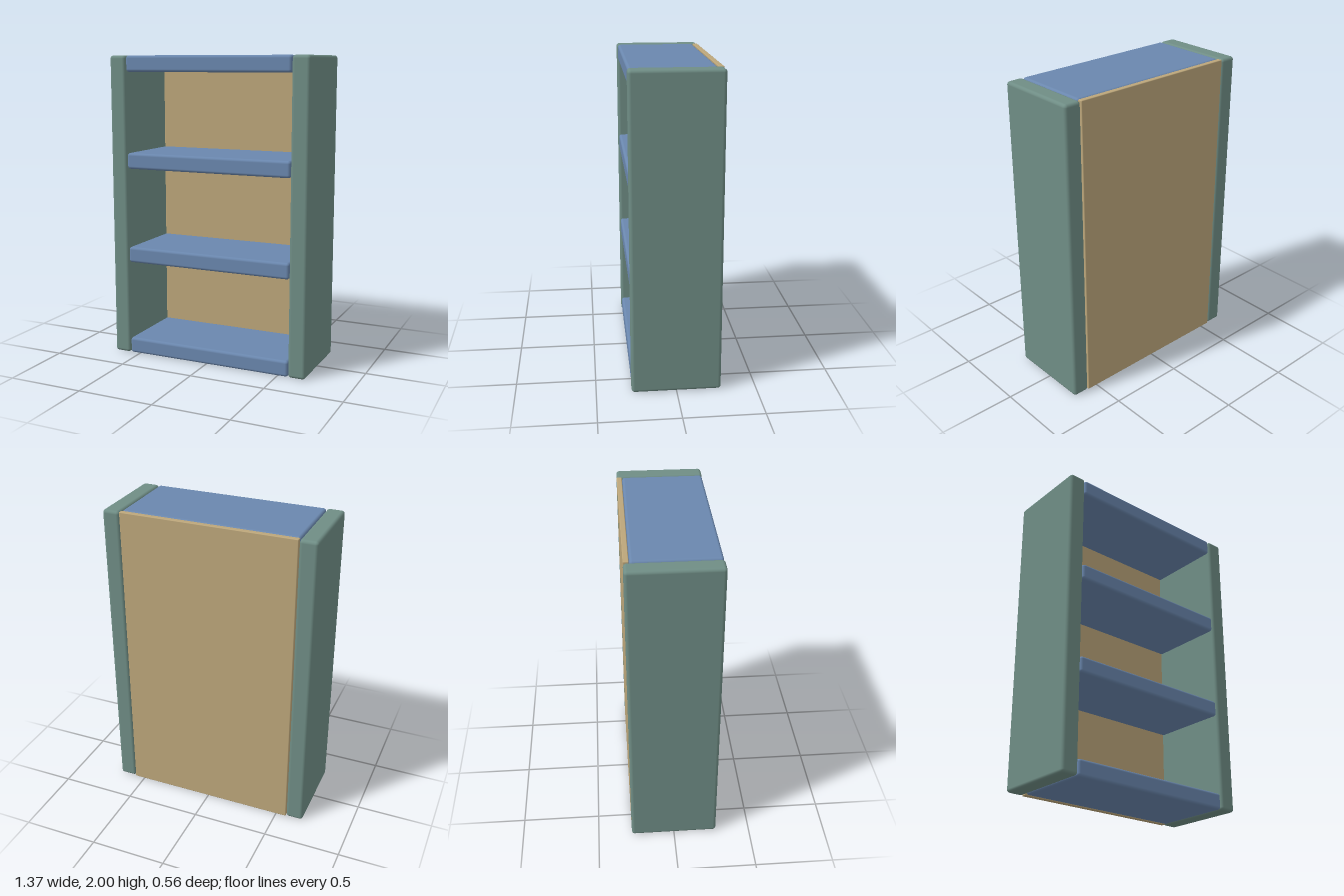
import * as THREE from 'three';
import { RoundedBoxGeometry } from 'three/addons/geometries/RoundedBoxGeometry.js';

const material = (name, color) => {
  const m = new THREE.MeshStandardMaterial({ color });
  m.name = name;
  return m;
};

export function createModel() {
  const green = material('sage green', 0x6f8d85);
  const blue = material('dusty blue', 0x6a87ae);
  const tan = material('tan', 0xbca67a);
  const group = new THREE.Group();
  group.name = 'bookcase';

  // Softened board, placed by its centre
  const board = (name, mat, size, position, radius) => {
    const mesh = new THREE.Mesh(new RoundedBoxGeometry(...size, 3, radius), mat);
    mesh.name = name;
    mesh.position.set(...position);
    group.add(mesh);
  };

  // Upright sides
  for (const s of [1, -1]) {
    board(s > 0 ? 'leftSide' : 'rightSide', green, [0.113, 2, 0.56], [s * 0.6285, 1, 0], 0.02);
  }

  // Four evenly spaced shelves, from floor to top
  for (let i = 0; i < 4; i++) {
    const y = 0.0525 + (i * (2 - 0.105)) / 3;
    board(`shelf${i + 1}`, blue, [1.138, 0.105, 0.521], [0, y, 0.0155], 0.018);
  }

  // Thin back panel
  board('backPanel', tan, [1.138, 2, 0.033], [0, 1, -0.2635], 0.005);

  return group;
}
